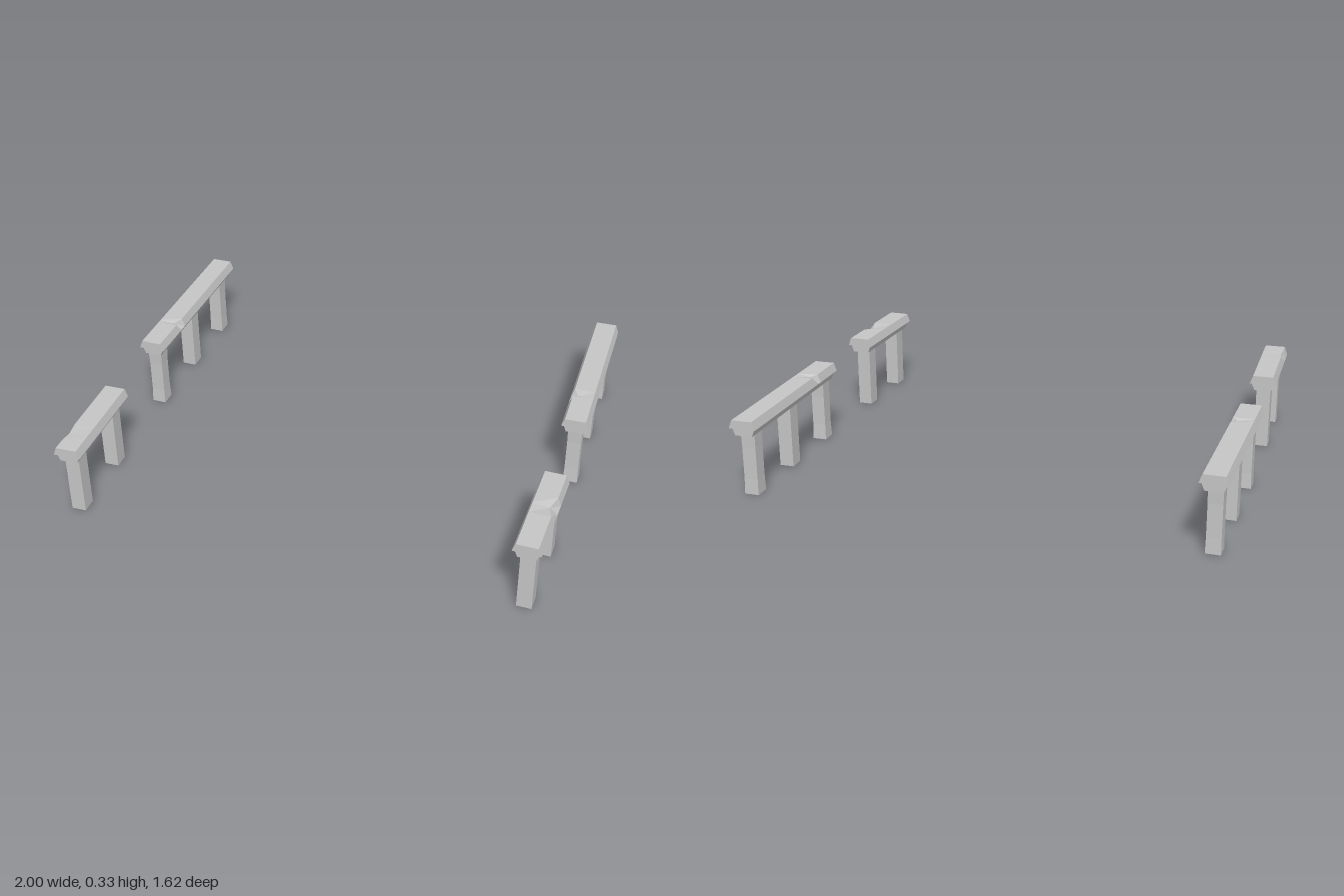
import * as THREE from 'three';

// Flat-shaded loft through rings listed front (+z) to back; each ring runs counter-clockwise seen from +z
function loft(rings) {
  const pos = [], n = rings[0].length, last = rings.length - 1;
  const tri = (a, b, c) => pos.push(...a, ...b, ...c);
  for (let i = 0; i < last; i++) {
    for (let j = 0; j < n; j++) {
      const k = (j + 1) % n;
      const a = rings[i][j], b = rings[i][k], c = rings[i + 1][j], d = rings[i + 1][k];
      tri(a, c, b);
      tri(b, c, d);
    }
  }
  for (let j = 1; j < n - 1; j++) {
    tri(rings[0][0], rings[0][j], rings[0][j + 1]);
    tri(rings[last][0], rings[last][j + 1], rings[last][j]);
  }
  const g = new THREE.BufferGeometry();
  g.setAttribute('position', new THREE.Float32BufferAttribute(pos, 3));
  g.computeVertexNormals();
  return g;
}

// Four-sided bar with sloping sides; chips are [z, inset, drop] on one top edge (edge = +1 or -1 in x)
function bar(length, y0, y1, halfBottom, halfTop, chips = [], edge = 1) {
  const stations = [[length / 2, 0, 0], ...chips, [-length / 2, 0, 0]];
  return loft(stations.map(([z, inset, drop]) => {
    const corner = (s) => s === edge
      ? [s * (halfTop - inset), y1 - drop, z]
      : [s * halfTop, y1, z];
    return [[-halfBottom, y0, z], [halfBottom, y0, z], corner(1), corner(-1)];
  }));
}

// Square post, slightly worn at mid height
function post(wear) {
  const g = new THREE.BoxGeometry(0.06, 0.265, 0.066, 1, 4, 1).toNonIndexed();
  const p = g.attributes.position;
  for (let i = 0; i < p.count; i++) {
    if (Math.abs(p.getY(i)) < 0.1) {
      p.setZ(i, p.getZ(i) * (1 - wear));
      p.setX(i, p.getX(i) * (1 - wear * 0.5));
    }
  }
  g.translate(0, 0.1325, 0);
  g.computeVertexNormals();
  return g;
}

export function createModel() {
  const model = new THREE.Group();
  const stone = new THREE.MeshStandardMaterial({ color: 0xc5c5c5 });
  stone.name = 'light grey stone';

  function add(parent, name, geometry) {
    const mesh = new THREE.Mesh(geometry, stone);
    mesh.name = name;
    parent.add(mesh);
    return mesh;
  }

  function railing(name, side, { x, z, length, turn, posts, chips, chipEdge }) {
    const group = new THREE.Group();
    group.name = name;
    group.position.set(side * x, 0, z);
    group.rotation.y = side * turn;
    add(group, 'capstone', bar(length, 0.295, 0.33, 0.056, 0.043, chips, chipEdge * side));
    add(group, 'capMoulding', bar(length - 0.022, 0.263, 0.296, 0.036, 0.049));
    posts.forEach(([pz, wear]) => {
      add(group, 'post', post(wear)).position.set(side * 0.001, 0, pz - z);
    });
    model.add(group);
  }

  for (const side of [1, -1]) {
    const label = side > 0 ? 'left' : 'right';
    // Long rear railing, chipped on its inner edge
    railing(label + 'LongRailing', side, {
      x: 0.939, z: -0.413, length: 0.788, turn: 0.0127,
      posts: [[-0.078, 0.1], [-0.408, 0], [-0.728, 0.07]],
      chips: [[0.223, 0, 0], [0.205, 0.024, 0.008], [0.165, 0, 0]],
      chipEdge: -1,
    });
    // Short front railing, chipped on its outer edge (only lightly worn on the right)
    const [chipZ, inset, drop] = side > 0 ? [-0.025, 0.018, 0.009] : [0.12, 0.006, 0.002];
    railing(label + 'ShortRailing', side, {
      x: 0.933, z: 0.577, length: 0.46, turn: -0.0247,
      posts: [[0.735, 0], [0.419, 0]],
      chips: [[chipZ + 0.06, 0, 0], [chipZ, inset, drop], [chipZ - 0.06, 0, 0]],
      chipEdge: 1,
    });
  }
  return model;
}
